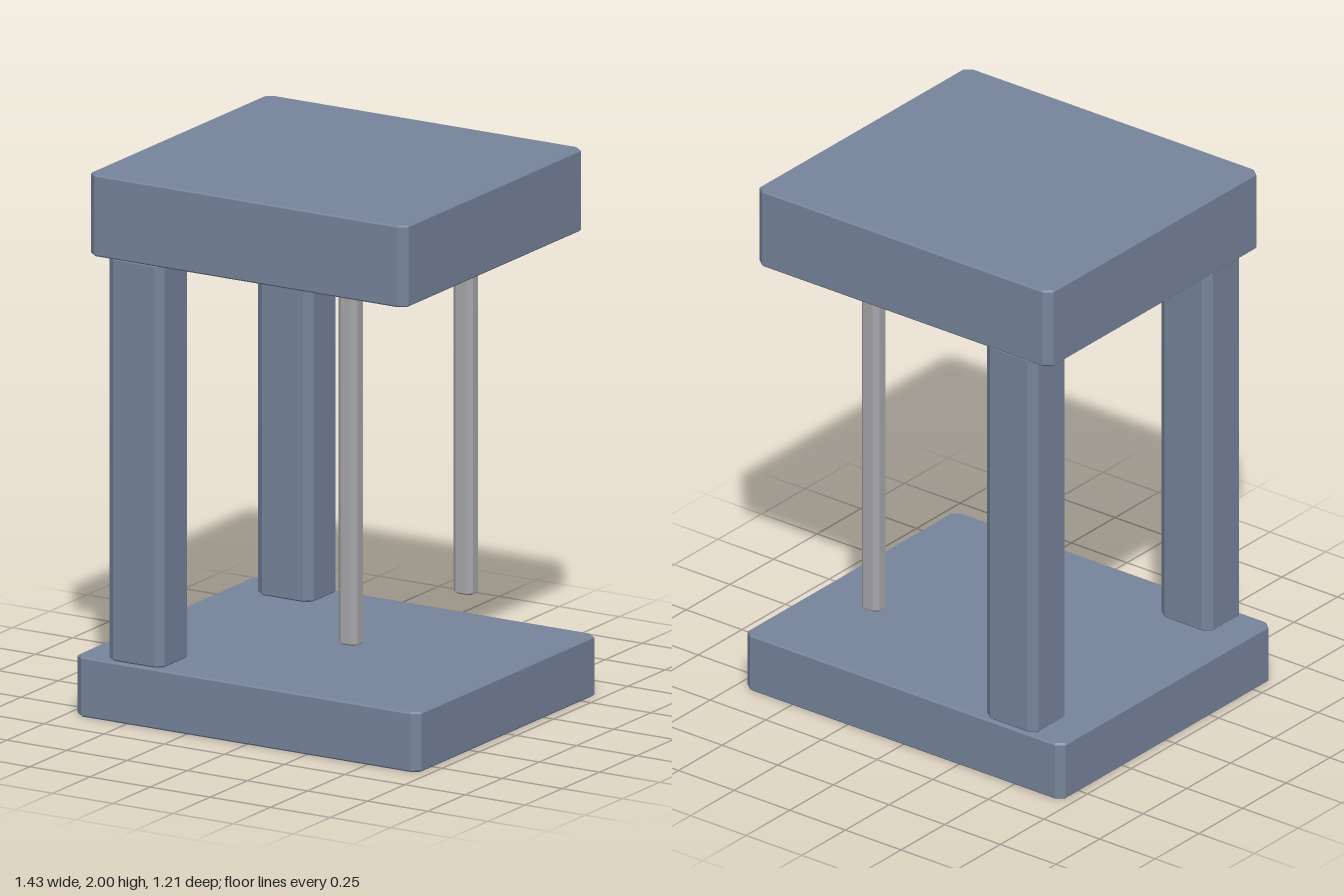
import * as THREE from 'three';

const blue = new THREE.MeshStandardMaterial({ color: 0x76839a, flatShading: true });
const grey = new THREE.MeshStandardMaterial({ color: 0xa6a6aa, flatShading: true });

// Upright block with chamfered corners (cx, cz) and a fine bevel on its rims
function block(name, [w, d], [cx, cz], y0, y1, material) {
  const b = 0.006;
  const x = w / 2 - b, z = d / 2 - b;
  const shape = new THREE.Shape([
    [x, -z + cz], [x, z - cz], [x - cx, z], [-x + cx, z],
    [-x, z - cz], [-x, -z + cz], [-x + cx, -z], [x - cx, -z],
  ].map(([px, py]) => new THREE.Vector2(px, py)));
  const geometry = new THREE.ExtrudeGeometry(shape, {
    depth: y1 - y0 - 2 * b, bevelEnabled: true,
    bevelSize: b, bevelThickness: b, bevelSegments: 1,
  });
  geometry.rotateX(-Math.PI / 2).translate(0, y0 + b, 0);
  const mesh = new THREE.Mesh(geometry, material);
  mesh.name = name;
  return mesh;
}

export function createModel() {
  const model = new THREE.Group();
  model.name = 'pillarFrame';

  // Base and top slabs
  model.add(block('base', [1.43, 1.21], [0.026, 0.021], 0, 0.22, blue));
  model.add(block('topSlab', [1.32, 1.21], [0.026, 0.021], 1.7, 2, blue));

  // A thick post and a thin hanging rod, front and back
  for (const [side, s] of [['front', 1], ['back', -1]]) {
    const post = block(side + 'Post', [0.23, 0.195], [0.026, 0.02], 0.222, 1.702, blue);
    post.position.set(-0.472, 0, 0.5 * s);
    const rod = block(side + 'Rod', [0.08, 0.067], [0.015, 0.013], 0.365, 1.702, grey);
    rod.position.set(0.3, 0, 0.387 * s);
    model.add(post, rod);
  }
  return model;
}
